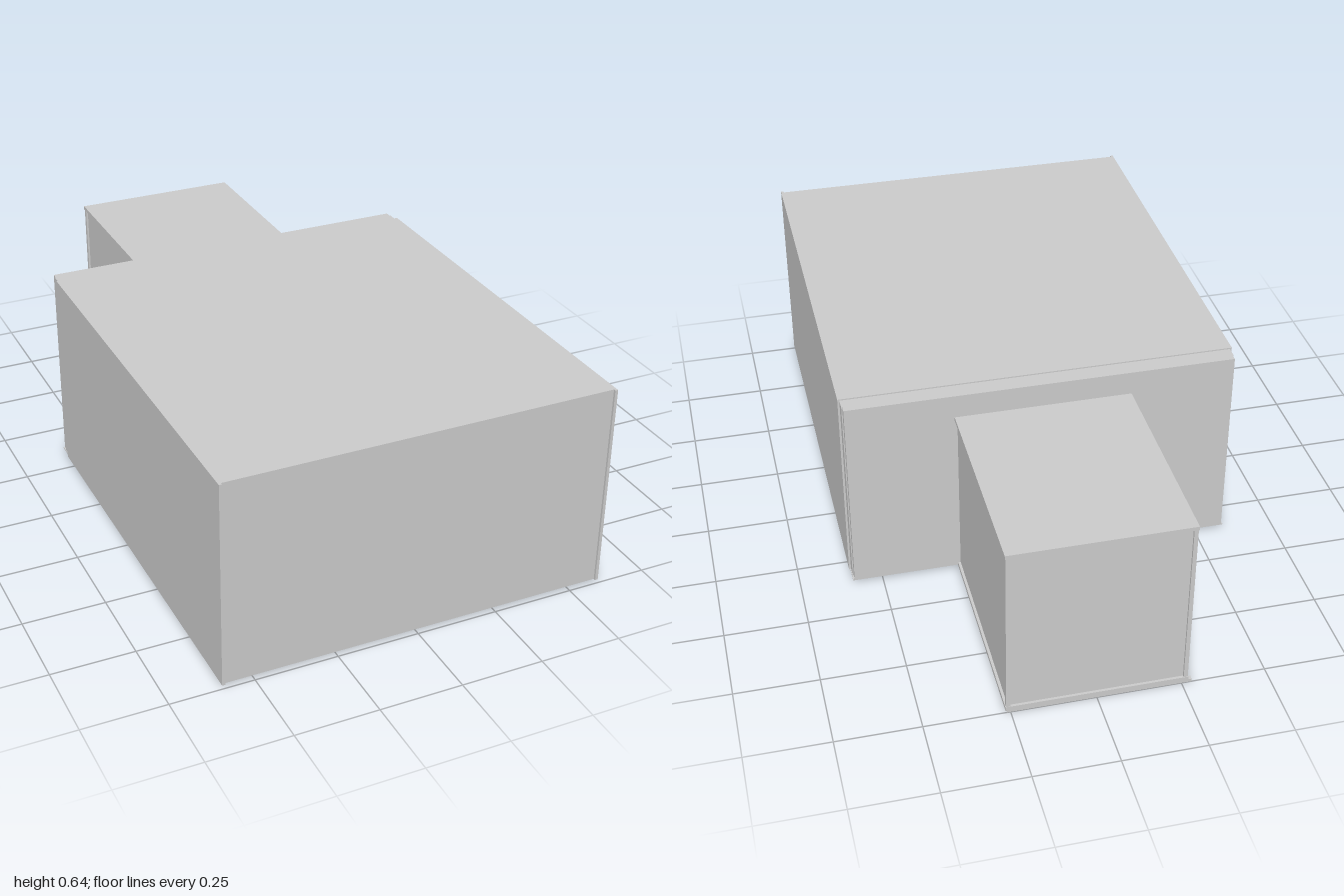
import * as THREE from 'three';

export function createModel() {
  const model = new THREE.Group();
  const material = new THREE.MeshStandardMaterial({ color: 0xcccccc, flatShading: true });

  // Box given by its extents along each axis
  function panel(parent, name, [x0, x1], [y0, y1], [z0, z1]) {
    const mesh = new THREE.Mesh(new THREE.BoxGeometry(x1 - x0, y1 - y0, z1 - z0), material);
    mesh.position.set((x0 + x1) / 2, (y0 + y1) / 2, (z0 + z1) / 2);
    mesh.name = name;
    parent.add(mesh);
  }

  // Large front block: body with thin side, top and bottom cladding
  const main = new THREE.Group();
  main.name = 'mainBlock';
  panel(main, 'mainBody', [-0.587, 0.587], [0.014, 0.641], [-0.355, 0.992]);
  panel(main, 'mainTopPanel', [-0.592, 0.592], [0.641, 0.645], [-0.3, 0.992]);
  panel(main, 'mainBottomPanel', [-0.592, 0.592], [0.011, 0.014], [-0.355, 0.992]);
  for (const s of [-1, 1]) {
    const name = s < 0 ? 'right' : 'left';
    const xs = [s * 0.587, s * 0.596].sort((a, b) => a - b);
    panel(main, name + 'SidePanel', xs, [0.011, 0.645], [-0.3, 0.999]);
    // Stepped-in edge strip at the back
    const strip = [s * 0.587, s * 0.59].sort((a, b) => a - b);
    panel(main, name + 'BackStrip', strip, [0.012, 0.641], [-0.335, -0.3]);
  }
  model.add(main);

  // Small rear block: recessed walls between slightly proud slabs
  const rear = new THREE.Group();
  rear.name = 'rearBlock';
  panel(rear, 'rearBody', [-0.262, 0.257], [0.018, 0.557], [-0.992, -0.355]);
  panel(rear, 'rearTopPanel', [-0.27, 0.265], [0.555, 0.567], [-1, -0.355]);
  panel(rear, 'rearBottomPanel', [-0.27, 0.265], [0.007, 0.02], [-1, -0.28]);
  panel(rear, 'rearBottomLip', [-0.28, 0.26], [0, 0.01], [-1, -0.987]);
  panel(rear, 'rearRightEdge', [-0.268, -0.256], [0.018, 0.557], [-0.999, -0.985]);
  panel(rear, 'rearLeftEdge', [0.25, 0.263], [0.018, 0.557], [-0.999, -0.985]);
  model.add(rear);

  return model;
}
